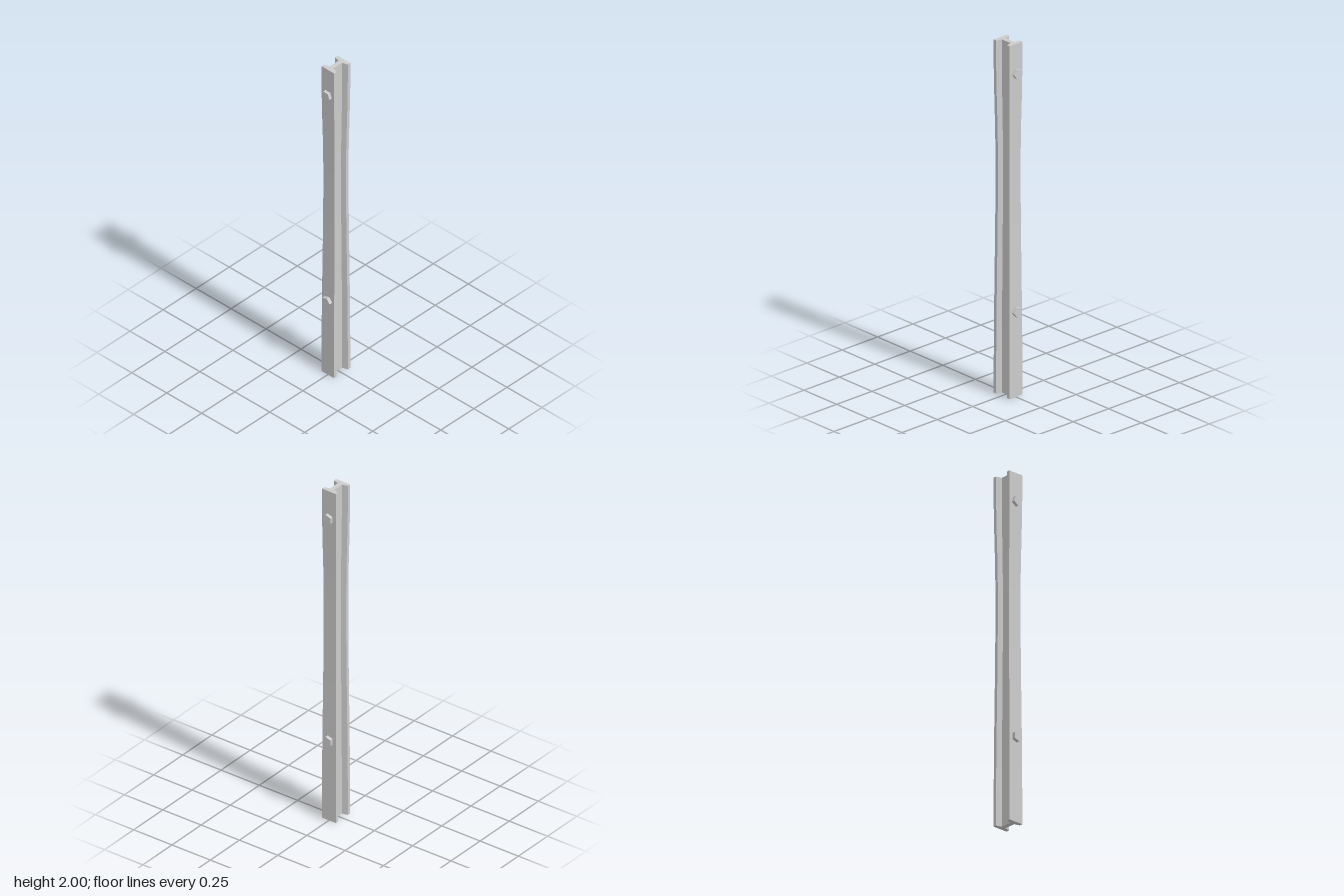
import * as THREE from 'three';

const material = new THREE.MeshStandardMaterial({ color: 0xcccccc, flatShading: true });

// How far the beam has worn in at a given height: 0 at the ends, 1 at the waist
function wear(y) {
  const s = THREE.MathUtils.smoothstep;
  return s(y, 0.15, 1.25) * (1 - s(y, 1.35, 1.88));
}

function createBeam() {
  // I-section, shape y runs towards the back
  const half = [[0.013, -0.033], [0.045, -0.042], [0.045, -0.061]];
  const right = [...half.map(([x, y]) => [x, -y]), ...[]].reverse();
  const side = [...right, ...half]; // back flange down to the front flange
  const outline = [...side, ...side.map(([x, y]) => [-x, y]).reverse()];
  const shape = new THREE.Shape(outline.map(([x, y]) => new THREE.Vector2(x, y)));
  const geometry = new THREE.ExtrudeGeometry(shape, { depth: 2, steps: 12, bevelEnabled: false });
  geometry.rotateX(-Math.PI / 2);

  // Draw the flanges in towards the waist
  const p = geometry.attributes.position;
  for (let i = 0; i < p.count; i++) {
    const w = wear(p.getY(i));
    const x = p.getX(i), z = p.getZ(i);
    if (Math.abs(x) > 0.02) p.setX(i, x - Math.sign(x) * 0.005 * w);
    p.setZ(i, z - Math.sign(z) * 0.008 * w);
  }
  geometry.computeVertexNormals();
  const beam = new THREE.Mesh(geometry, material);
  beam.name = 'beam';
  return beam;
}

// Five-sided bolt head on the front (+1) or back (-1) flange
function createBolt(name, y, facing, turn) {
  const geometry = new THREE.CylinderGeometry(0.029, 0.029, 0.034, 5);
  geometry.rotateY(turn);
  geometry.rotateX(facing * Math.PI / 2);
  const bolt = new THREE.Mesh(geometry, material);
  bolt.position.set(0, y, facing * 0.062);
  bolt.name = name;
  return bolt;
}

export function createModel() {
  const group = new THREE.Group();
  group.name = 'steelBeam';
  group.add(
    createBeam(),
    createBolt('upperFrontBolt', 1.835, 1, 0),
    createBolt('lowerFrontBolt', 0.485, 1, Math.PI / 2),
    createBolt('upperBackBolt', 1.835, -1, 0.3),
    createBolt('lowerBackBolt', 0.485, -1, Math.PI / 2),
  );
  return group;
}
